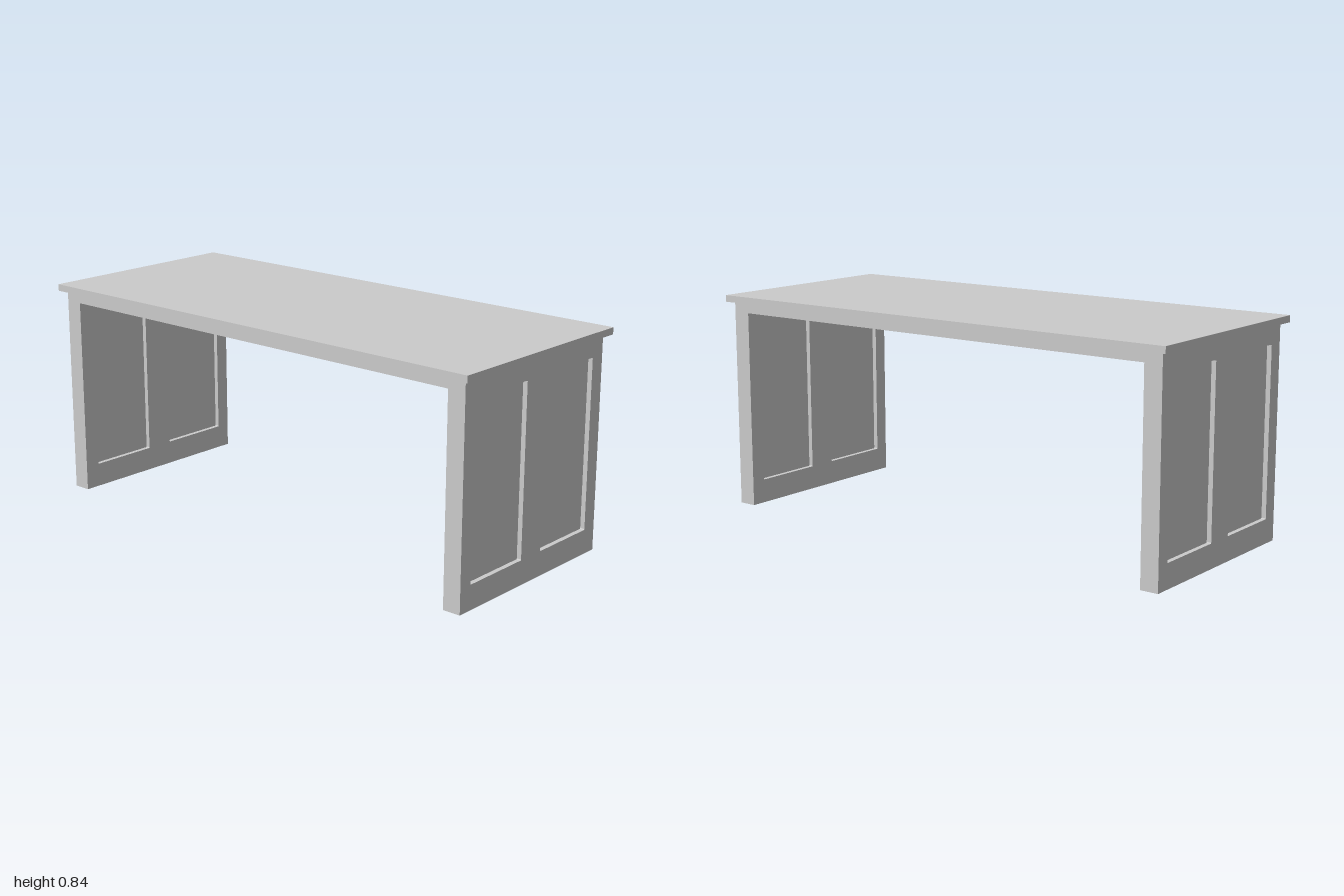
import * as THREE from 'three';

const material = new THREE.MeshStandardMaterial({ color: 0xcccccc, flatShading: true });

function addBox(parent, name, x0, x1, y0, y1, z0, z1) {
  const mesh = new THREE.Mesh(new THREE.BoxGeometry(x1 - x0, y1 - y0, z1 - z0), material);
  mesh.position.set((x0 + x1) / 2, (y0 + y1) / 2, (z0 + z1) / 2);
  mesh.name = name;
  parent.add(mesh);
}

// Rectangle with slightly eased corners
function opening(x0, x1, y0, y1, r = 0.004) {
  const p = new THREE.Path();
  p.absarc(x0 + r, y0 + r, r, Math.PI * 1.5, Math.PI, true);
  p.absarc(x0 + r, y1 - r, r, Math.PI, Math.PI / 2, true);
  p.absarc(x1 - r, y1 - r, r, Math.PI / 2, 0, true);
  p.absarc(x1 - r, y0 + r, r, 0, -Math.PI / 2, true);
  p.closePath();
  return p;
}

// Panelled end support, recessed on both faces
function createEndPanel(name) {
  const group = new THREE.Group();
  group.name = name;
  const z0 = 0.905, z1 = 0.975, y0 = 0.093, y1 = 0.738, recess = 0.018;
  const openings = [[-0.345, -0.055], [0.06, 0.34]];

  const outline = new THREE.Shape();
  outline.moveTo(-0.4, 0).lineTo(0.4, 0).lineTo(0.4, 0.77).lineTo(-0.4, 0.77).closePath();
  for (const [a, b] of openings) outline.holes.push(opening(a, b, y0, y1));
  const frame = new THREE.Mesh(
    new THREE.ExtrudeGeometry(outline, { depth: z1 - z0, bevelEnabled: false, curveSegments: 3 }), material);
  frame.position.z = z0;
  frame.name = 'endFrame';
  group.add(frame);

  for (const [a, b] of openings) addBox(group, 'recessedPanel', a, b, y0, y1, z0 + recess, z1 - recess);
  return group;
}

export function createModel() {
  const desk = new THREE.Group();
  desk.name = 'desk';

  // Overhanging top and the slab beneath it
  addBox(desk, 'tabletop', -0.425, 0.425, 0.81, 0.836, -1, 1);
  addBox(desk, 'underSlab', -0.4, 0.4, 0.77, 0.81, -0.975, 0.975);

  // Matching supports at both ends
  const frontEnd = createEndPanel('frontEndPanel');
  const backEnd = createEndPanel('backEndPanel');
  backEnd.rotation.y = Math.PI;
  desk.add(frontEnd, backEnd);
  return desk;
}
